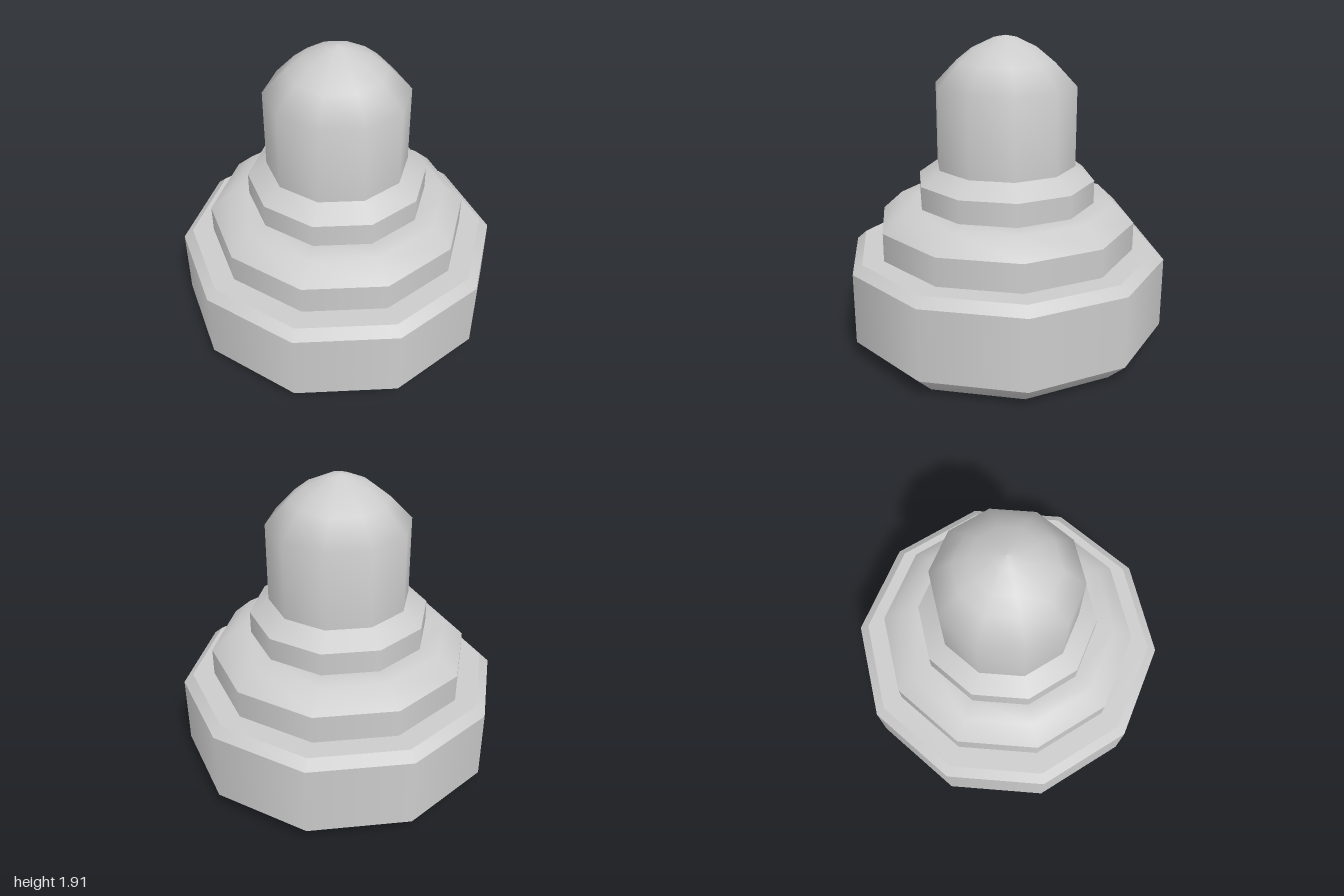
import * as THREE from 'three';
import { mergeGeometries } from 'three/addons/utils/BufferGeometryUtils.js';

const SIDES = 10;

// Each section is a ten-sided band, smooth inside; edges between sections stay sharp.
function turned(name, sections, material) {
  const bands = sections.map((points) => new THREE.LatheGeometry(
    points.map(([r, y]) => new THREE.Vector2(r, y)), SIDES, Math.PI / 2));
  const mesh = new THREE.Mesh(mergeGeometries(bands), material);
  mesh.name = name;
  return mesh;
}

export function createModel() {
  const model = new THREE.Group();
  model.name = 'steppedPedestal';
  const grey = new THREE.MeshStandardMaterial({ color: 0xcccccc });

  // Wide base: underside blending into its chamfer, wall, bevel, ledge
  model.add(turned('base', [
    [[0, 0], [0.88, 0], [1, 0.115]],
    [[1, 0.115], [1, 0.557]],
    [[1, 0.557], [0.94, 0.61]],
    [[0.94, 0.61], [0.805, 0.61]],
  ], grey));

  // Middle step: wall, then a bevel blending into the ledge
  model.add(turned('middleStep', [
    [[0.805, 0.61], [0.805, 0.785]],
    [[0.805, 0.785], [0.68, 0.9], [0.555, 0.9]],
  ], grey));

  // Upper step: wall and bevel up to the column
  model.add(turned('upperStep', [
    [[0.555, 0.9], [0.555, 1.043]],
    [[0.555, 1.043], [0.436, 1.13]],
  ], grey));

  // Column running smoothly into a rounded dome
  model.add(turned('domedColumn', [
    [[0.436, 1.13], [0.436, 1.62], [0.3, 1.762], [0.205, 1.838], [0.07, 1.902], [0, 1.915]],
  ], grey));

  return model;
}
